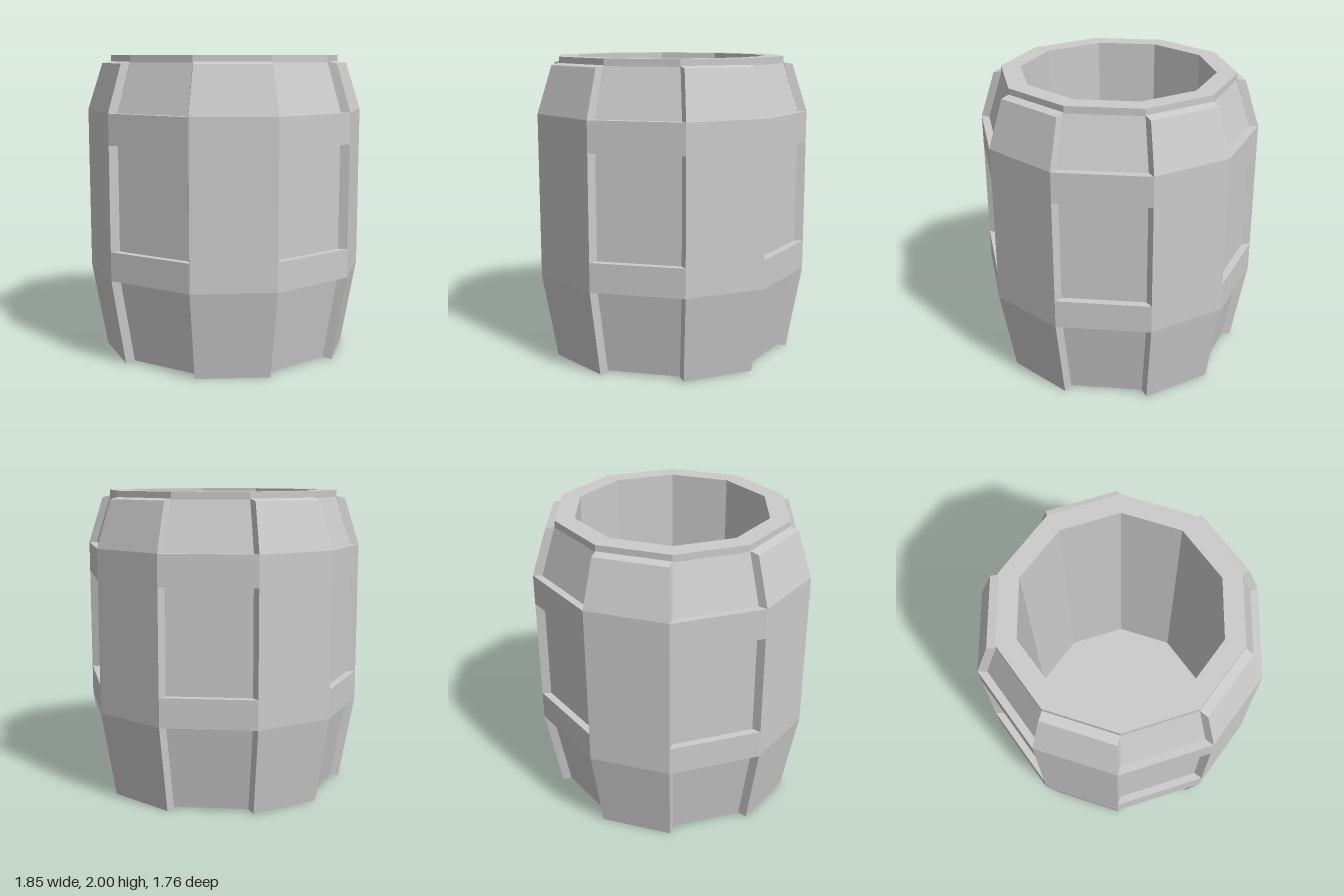
import * as THREE from 'three';

const STEP = Math.PI / 5; // ten-sided barrel
const RAISE = 0.06; // how far staves and bands stand out from the core
const R_END = 0.77, R_MID = 0.87;

// Corner k of the core, pushed out along the normal of the stave on facet f
function corner(k, radius, f, push) {
  const a = k * STEP, n = (f + 0.5) * STEP;
  return [radius * Math.cos(a) + push * Math.cos(n), radius * Math.sin(a) + push * Math.sin(n)];
}

// Closed solid through four-cornered rings, listed from bottom to top
function loft(rings) {
  const index = [], last = (rings.length - 1) * 4;
  for (let r = 0; r < last; r += 4) {
    for (let i = 0; i < 4; i++) {
      const a = r + i, b = r + (i + 1) % 4;
      index.push(a, b, b + 4, a, b + 4, a + 4);
    }
  }
  index.push(0, 2, 1, 0, 3, 2, last, last + 1, last + 2, last, last + 2, last + 3);
  const geometry = new THREE.BufferGeometry();
  geometry.setAttribute('position', new THREE.Float32BufferAttribute(rings.flat(2), 3));
  geometry.setIndex(index);
  geometry.computeVertexNormals();
  return geometry;
}

// Ring over facet k; fa and fb are the facets whose normals push its two outer corners
function ring(k, radius, yIn, yOut, fa, fb) {
  const at = ([x, z], y) => [x, y, z];
  return [
    at(corner(k, radius, fa, 0), yIn), at(corner(k + 1, radius, fb, 0), yIn),
    at(corner(k + 1, radius, fb, RAISE), yOut), at(corner(k, radius, fa, RAISE), yOut),
  ];
}

export function createModel() {
  const model = new THREE.Group();
  model.name = 'barrel';
  const material = new THREE.MeshStandardMaterial({ color: 0xcccccc, flatShading: true });
  const add = (name, geometry) => {
    const mesh = new THREE.Mesh(geometry, material);
    mesh.name = name;
    mesh.position.z = 0.005;
    model.add(mesh);
  };

  // Hollow core with its rim, inner wall and floor
  const profile = [
    [0, 0.013], [R_END, 0.013], [R_MID, 0.57], [R_MID, 1.64], [R_END, 1.955],
    [R_END, 2], [0.64, 2], [0.64, 0.12], [0, 0.12],
  ].map(([x, y]) => new THREE.Vector2(x, y));
  add('core', new THREE.LatheGeometry(profile, 10, STEP / 2));

  for (let k = 0; k < 10; k += 2) {
    // Bands across the recessed facet, flush with the neighbouring staves
    for (const [name, low, high] of [['lowerBand', 0.57, 0.76], ['upperBand', 1.44, 1.64]]) {
      add(name, loft([low, high].map((y) => ring(k, R_MID, y, y, k - 1, k + 1))));
    }
    // Raised stave on the next facet
    const s = k + 1;
    add('stave', loft([
      [R_END, 0.013, 0], [R_MID, 0.57, 0.57], [R_MID, 1.64, 1.64], [R_END, 1.96, 1.948],
    ].map(([r, yIn, yOut]) => ring(s, r, yIn, yOut, s, s))));
  }
  return model;
}
